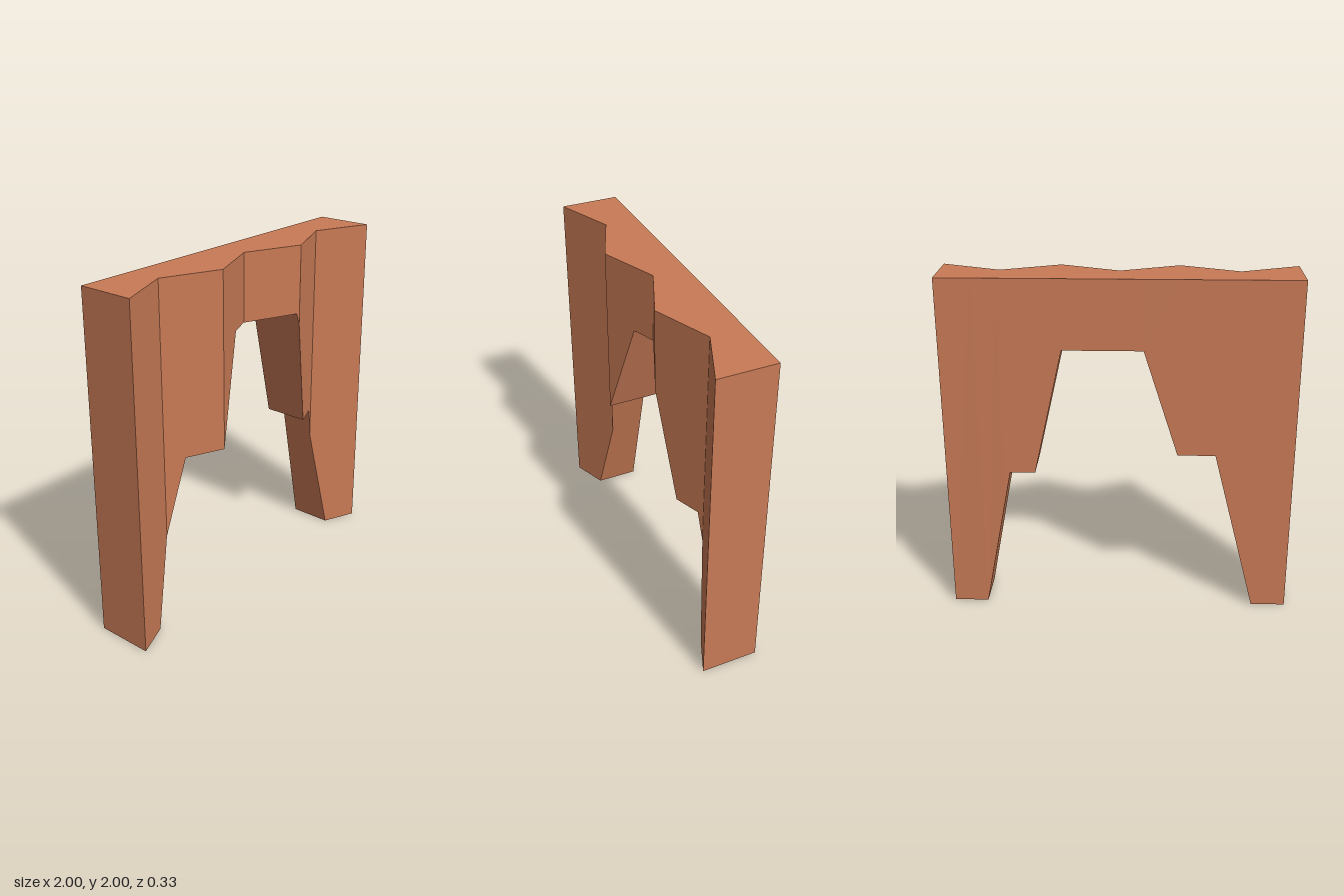
import * as THREE from 'three';

const TOP = 2, BACK = -0.167, RIDGE = 0.167, VALLEY = 0.028, THIRD = 1 / 3;

// Underside of the arch: x, y
const underside = [
  [-1, 0], [-0.8, 0], [-0.55, 0.98], [-THIRD, 0.98], [-0.135, 1.6],
  [0.318, 1.6], [0.485, 0.86], [0.63, 0.86], [0.8, 0], [1, 0],
];

// Folds of the pleated front: x, z
const folds = Array.from({ length: 7 }, (_, i) => [-1 + i * THIRD, i % 2 ? VALLEY : RIDGE]);

// Height or depth on a polyline at x
function sample(line, x) {
  for (let i = 1; i < line.length; i++) {
    const [x0, v0] = line[i - 1], [x1, v1] = line[i];
    if (x <= x1 + 1e-6) return v0 + (v1 - v0) * (x - x0) / (x1 - x0);
  }
  return line[line.length - 1][1];
}

export function createModel() {
  // Cross-sections wherever the underside bends or the front folds
  const xs = [...underside, ...folds].map(p => p[0]).sort((a, b) => a - b)
    .filter((x, i, all) => i === 0 || x - all[i - 1] > 1e-4);
  const sections = xs.map(x => {
    const y = sample(underside, x), z = sample(folds, x);
    return [[x, y, z], [x, TOP, z], [x, TOP, BACK], [x, y, BACK]];
  });

  const positions = [];
  const quad = (a, b, c, d) => positions.push(...a, ...b, ...c, ...a, ...c, ...d);

  // Front, top, back and underside between neighbouring sections
  for (let i = 1; i < sections.length; i++) {
    const s = sections[i - 1], t = sections[i];
    for (let k = 0; k < 4; k++) {
      const n = (k + 1) % 4;
      quad(s[k], t[k], t[n], s[n]);
    }
  }
  // End faces
  const first = sections[0], last = sections[sections.length - 1];
  quad(first[0], first[1], first[2], first[3]);
  quad(last[3], last[2], last[1], last[0]);

  const geometry = new THREE.BufferGeometry();
  geometry.setAttribute('position', new THREE.Float32BufferAttribute(positions, 3));
  geometry.computeVertexNormals();

  const arch = new THREE.Mesh(geometry,
    new THREE.MeshStandardMaterial({ color: 0xc87a55, flatShading: true }));
  arch.name = 'pleatedArch';

  const group = new THREE.Group();
  group.name = 'rockArch';
  group.add(arch);
  return group;
}
